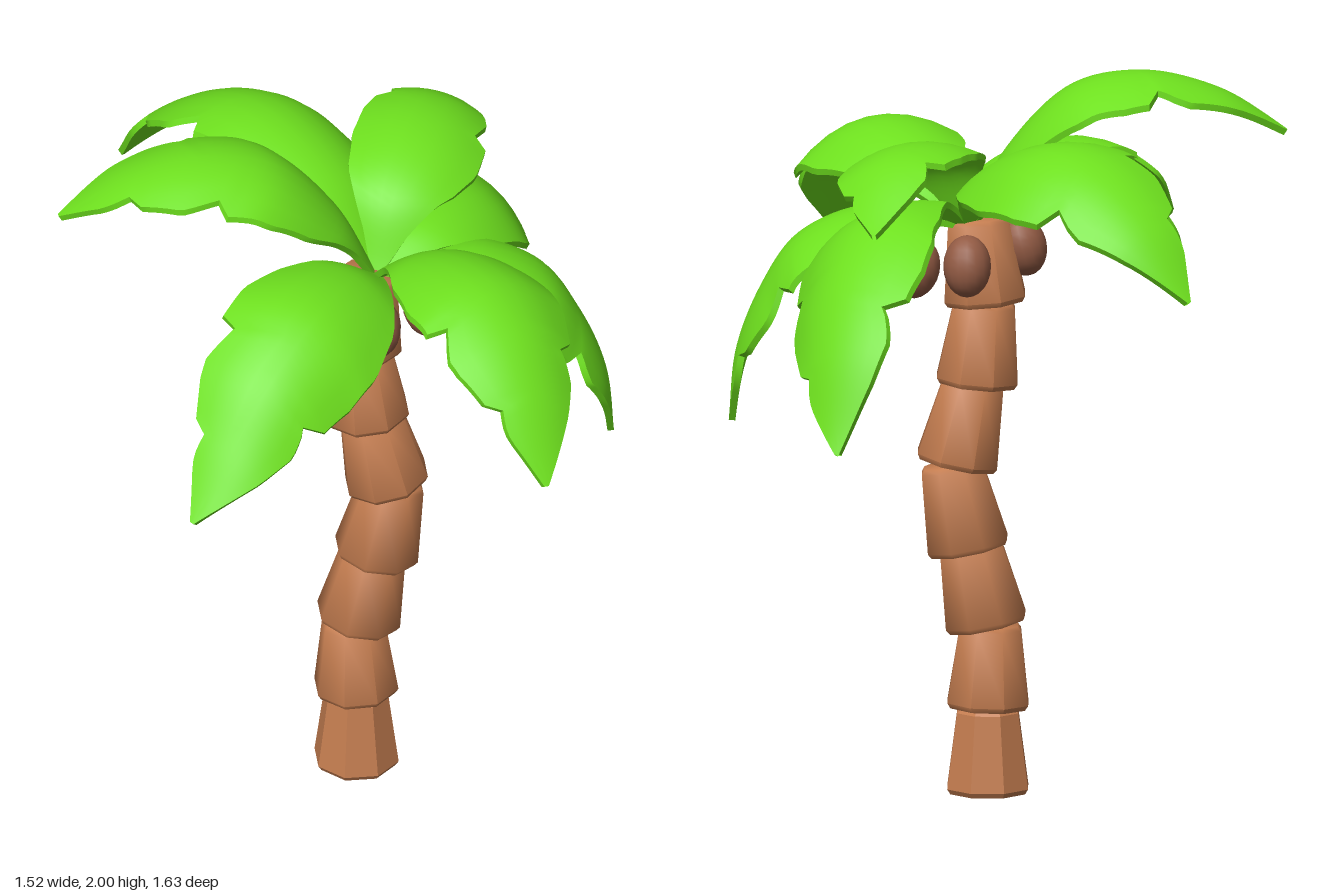
import * as THREE from 'three';
import { toCreasedNormals } from 'three/addons/utils/BufferGeometryUtils.js';

const bark = new THREE.MeshStandardMaterial({ color: 0xc47d50 });
const husk = new THREE.MeshStandardMaterial({ color: 0x935b44 });
const green = new THREE.MeshStandardMaterial({ color: 0x6ee01e, side: THREE.DoubleSide });
const crown = new THREE.Vector3(0.11, 0, -0.02);

// Tapered eight-sided trunk ring with a bevelled foot, standing between two points (x, y)
function trunkRing(x0, y0, x1, y1, crease) {
  const from = new THREE.Vector3(x0, y0, 0);
  const dir = new THREE.Vector3(x1, y1, 0).sub(from);
  const h = dir.length() + 0.015;
  const profile = [[0, 0], [0.11, 0], [0.119, 0.014], [0.09, h - 0.012], [0.08, h], [0, h]]
    .map(([r, y]) => new THREE.Vector2(r, y));
  const geo = toCreasedNormals(new THREE.LatheGeometry(profile, 8, Math.PI / 8), crease);
  const mesh = new THREE.Mesh(geo, bark);
  mesh.position.copy(from);
  mesh.quaternion.setFromUnitVectors(new THREE.Vector3(0, 1, 0), dir.normalize());
  mesh.name = 'trunkRing';
  return mesh;
}

// Half-width along the leaf, with torn notches that close again towards the tip
const outline = [[0, 0.08], [0.1, 0.34], [0.24, 0.82], [0.36, 1], [0.5, 0.98], [0.65, 0.81], [0.82, 0.48], [1, 0.03]];
function leafWidth(t, notches) {
  const k = Math.max(1, outline.findIndex(([u]) => u >= t - 1e-6));
  const [u0, w0] = outline[k - 1], [u1, w1] = outline[k];
  let w = THREE.MathUtils.lerp(w0, w1, (t - u0) / (u1 - u0));
  for (const [at, depth] of notches) {
    if (t >= at) w *= 1 - depth * Math.max(0, 1 - (t - at) / 0.1);
  }
  return w;
}

// Arched leaf shell: azimuth from its tip, midrib as (reach, height),
// sideways bow, and roll about the midrib
function leafGeometry({ tip, rib, bow = 0, roll = 0, width = 0.2, notches }) {
  const d = new THREE.Vector3(tip[0], 0, tip[1]).sub(crown);
  const reach = d.length();
  d.normalize();
  const side = new THREE.Vector3(-d.z, 0, d.x);
  const curve = new THREE.CatmullRomCurve3([[0, 1.58], ...rib].map(([r, y]) => {
    const u = r / reach;
    return crown.clone().addScaledVector(d, r).addScaledVector(side, bow * 4 * u * (1 - u)).setY(y);
  }));
  const rows = 40, cols = 8, thick = 0.018, ring = 2 * (cols + 1);
  const pos = [], index = [];
  for (let i = 0; i <= rows; i++) {
    const t = i / rows;
    const p = curve.getPointAt(t), tan = curve.getTangentAt(t);
    const up = side.clone().cross(tan).normalize().applyAxisAngle(tan, roll * Math.sin(Math.PI * t));
    const across = tan.clone().cross(up);
    // Cross-section loop: over the top, then back underneath
    for (let j = 0; j < ring; j++) {
      const under = j > cols;
      const s = (under ? ring - 1 - j : j) / cols * 2 - 1;
      const w = width * leafWidth(t, notches[s < 0 ? 0 : 1]) * s;
      const v = p.clone().addScaledVector(across, w)
        .addScaledVector(up, -1.9 * w * w - (under ? thick : 0))
        .addScaledVector(tan, 0.06 * Math.abs(s) * Math.sin(Math.PI * t));
      pos.push(v.x, v.y, v.z);
      if (i < rows) {
        const a = i * ring + j, b = i * ring + (j + 1) % ring;
        index.push(a, b, a + ring, b, b + ring, a + ring);
      }
    }
  }
  const geo = new THREE.BufferGeometry();
  geo.setAttribute('position', new THREE.Float32BufferAttribute(pos, 3));
  geo.setIndex(index);
  return toCreasedNormals(geo, 0.8);
}

const tornA = [[[0.52, 0.2], [0.77, 0.3]], [[0.6, 0.28]]];
const tornB = [[[0.62, 0.28]], [[0.5, 0.22], [0.76, 0.3]]];
const leaves = [
  { tip: [-0.76, -0.02], notches: tornA, rib: [[0.1, 1.78], [0.28, 1.96], [0.48, 2.0], [0.69, 1.95], [0.87, 1.84]] },
  { tip: [-0.5, -0.8], notches: tornA, bow: 0.1, roll: 0.3, width: 0.22,
    rib: [[0.18, 1.77], [0.45, 1.86], [0.65, 1.83], [0.85, 1.7], [0.99, 1.51]] },
  { tip: [0.46, -0.81], notches: tornB, bow: 0.13, roll: 0.38, width: 0.22,
    rib: [[0.15, 1.66], [0.4, 1.65], [0.6, 1.53], [0.76, 1.35], [0.87, 1.09]] },
  { tip: [0.36, -0.73], notches: tornB, bow: 0.06, roll: 0.2, width: 0.18,
    rib: [[0.1, 1.77], [0.28, 1.85], [0.5, 1.84], [0.75, 1.68]] },
  { tip: [0.76, 0], notches: tornA, width: 0.195,
    rib: [[0.12, 1.61], [0.3, 1.62], [0.47, 1.54], [0.56, 1.41], [0.63, 1.23], [0.65, 1.03]] },
  { tip: [0.48, 0.81], notches: tornB, bow: -0.08, roll: -0.15, width: 0.22,
    rib: [[0.2, 1.75], [0.45, 1.8], [0.62, 1.74], [0.77, 1.61], [0.91, 1.41]] },
  { tip: [-0.48, 0.7], notches: tornB, bow: -0.1, roll: -0.45, width: 0.22,
    rib: [[0.2, 1.71], [0.45, 1.73], [0.65, 1.63], [0.8, 1.47], [0.93, 1.29]] },
];

export function createModel() {
  const palm = new THREE.Group();
  palm.name = 'palmTree';

  // Stacked trunk rings; the lowest one is faceted
  const trunk = new THREE.Group();
  trunk.name = 'trunk';
  [
    [0.055, 0, 0.055, 0.22], [0.055, 0.235, 0.048, 0.45], [0.058, 0.462, 0.103, 0.685],
    [0.107, 0.672, 0.152, 0.895], [0.14, 0.908, 0.095, 1.125], [0.085, 1.13, 0.065, 1.345],
    [0.062, 1.357, 0.08, 1.575],
  ].forEach((ring, i) => trunk.add(trunkRing(...ring, i === 0 ? 0.5 : 1)));
  palm.add(trunk);

  // Coconuts hanging around the top of the trunk
  const coconuts = new THREE.Group();
  coconuts.name = 'coconuts';
  for (const [x, y, z, rx, rz] of [
    [-0.04, 1.51, 0.02, 0, -0.25], [0.095, 1.51, 0.14, -0.2, 0],
    [0.25, 1.455, -0.02, 0, 0.2], [0.11, 1.48, -0.13, 0.2, 0],
  ]) {
    const nut = new THREE.Mesh(new THREE.SphereGeometry(1, 16, 12), husk);
    nut.name = 'coconut';
    nut.scale.set(0.065, 0.085, 0.065);
    nut.position.set(x, y, z);
    nut.rotation.set(rx, 0, rz);
    coconuts.add(nut);
  }
  palm.add(coconuts);

  // Crown of leaves
  const fronds = new THREE.Group();
  fronds.name = 'fronds';
  for (const leaf of leaves) {
    const mesh = new THREE.Mesh(leafGeometry(leaf), green);
    mesh.name = 'frond';
    fronds.add(mesh);
  }
  palm.add(fronds);
  return palm;
}
